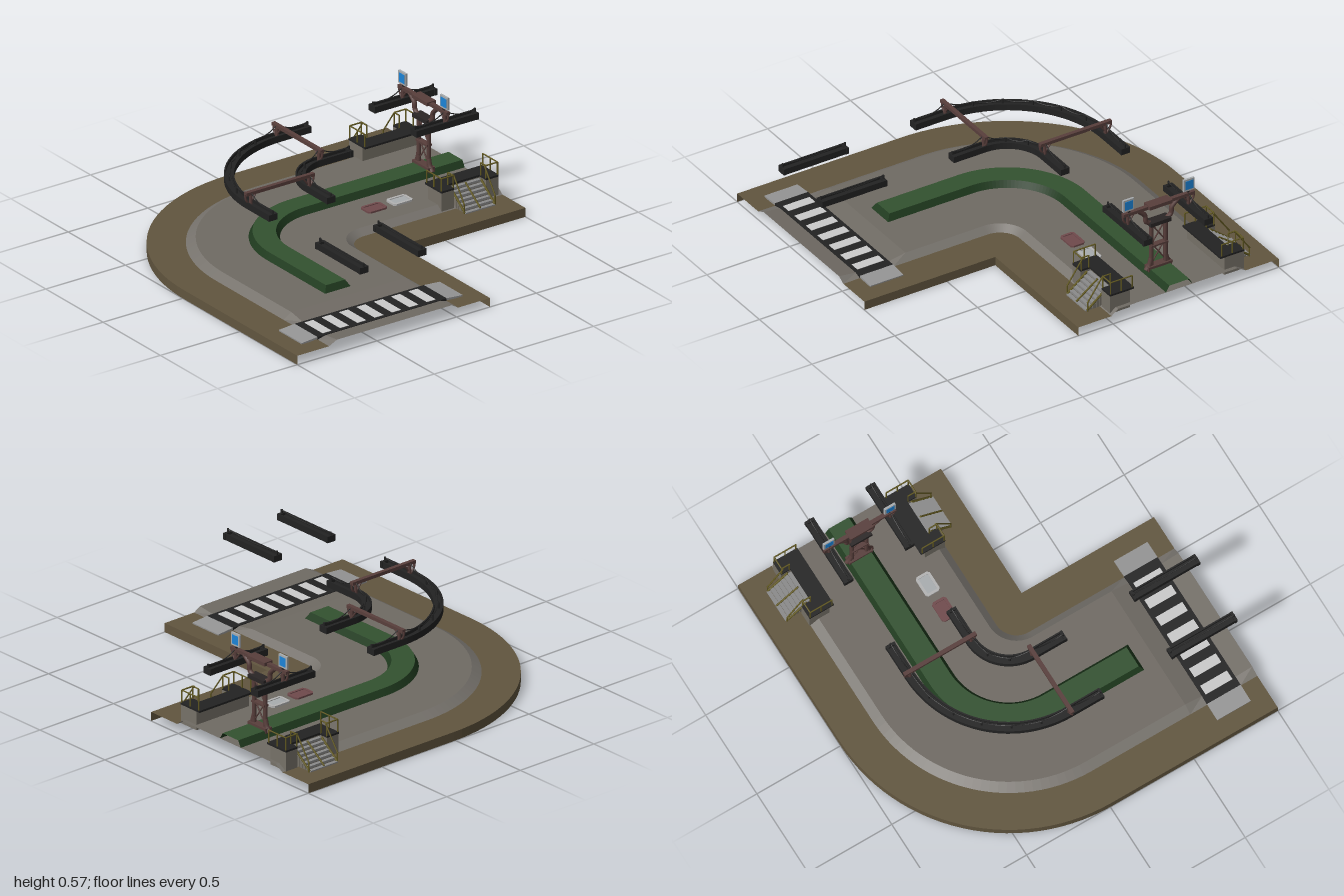
import * as THREE from 'three';

const mat = (color, extra = {}) => new THREE.MeshStandardMaterial({ color, ...extra });
const open = { side: THREE.DoubleSide, flatShading: true };
const M = {
  pavement: mat(0x62563f, open), road: mat(0x706b64, open), kerb: mat(0x77736d, open),
  grass: mat(0x335230, open), grassEdge: mat(0x1f3a1e, open), black: mat(0x232323, open),
  white: mat(0xc4c4c0), ramp: mat(0x969696), concrete: mat(0x777268), step: mat(0x8b8b8b),
  rail: mat(0x635a22), iron: mat(0x593f3c), dark: mat(0x2a2626), frame: mat(0xa9adb0),
  blue: mat(0x1c84d8), hatch: mat(0x704a4c), pale: mat(0xb4b4b4),
};
const V = (x, y, z) => new THREE.Vector3(x, y, z);

function add(parent, name, geo, material) {
  const mesh = new THREE.Mesh(geo, material);
  mesh.name = name;
  parent.add(mesh);
  return mesh;
}
// box given by its limits on each axis
function box(parent, name, material, [x0, x1], [y0, y1], [z0, z1]) {
  const m = add(parent, name, new THREE.BoxGeometry(x1 - x0, y1 - y0, z1 - z0), material);
  m.position.set((x0 + x1) / 2, (y0 + y1) / 2, (z0 + z1) / 2);
  return m;
}
// straight bar between two points
function rod(parent, name, material, a, b, r = 0.004, sides = 6) {
  const m = add(parent, name, new THREE.CylinderGeometry(r, r, a.distanceTo(b), sides), material);
  m.position.copy(a).add(b).multiplyScalar(0.5);
  m.quaternion.setFromUnitVectors(V(0, 1, 0), b.clone().sub(a).normalize());
  return m;
}
function tube(parent, name, material, pts, r, sides = 6) {
  const path = new THREE.CatmullRomCurve3(pts, false, 'catmullrom', 0.5);
  return add(parent, name, new THREE.TubeGeometry(path, pts.length * 4, r, sides), material);
}
// line that follows the bend: straight along z, quarter turn of radius r about (c, c), straight along x
function bend(r, c, y, zs = [1, 0.9, 0.7, 0.6], xs = [1], n = 28) {
  const h = typeof y === 'function' ? y : () => y;
  const pts = zs.map(z => V(c - r, h(z), z));
  for (let i = 0; i <= n; i++) {
    const a = i / n * Math.PI / 2;
    pts.push(V(c - r * Math.cos(a), h(0), c - r * Math.sin(a)));
  }
  xs.forEach(x => pts.push(V(x, h(0), c - r)));
  return pts;
}
// surface through a list of lines with equal point counts
function loft(lines) {
  const n = lines[0].length, index = [];
  for (let j = 0; j < lines.length - 1; j++) {
    for (let i = 0; i < n - 1; i++) {
      const a = j * n + i, b = a + n;
      index.push(a, a + 1, b, b, a + 1, b + 1);
    }
  }
  const g = new THREE.BufferGeometry().setFromPoints(lines.flat());
  g.setIndex(index);
  const flat = g.toNonIndexed();
  flat.computeVertexNormals();
  return flat;
}

const C = 0.01; // centre of the bend

function ground(g) {
  // carriageway dips at the crossing
  const roadY = z => z > 0.95 ? 0.074 : z > 0.65 ? 0.062 : 0.08;
  const outer = bend(0.76, C, roadY), inner = bend(0.16, 0.13, roadY);
  const outerFoot = bend(0.81, C, 0.05), innerFoot = bend(0.12, 0.13, 0.05);
  add(g, 'road', loft([outer, inner]), M.road);
  add(g, 'outerKerb', loft([outerFoot, outer]), M.kerb);
  add(g, 'innerKerb', loft([inner, innerFoot]), M.kerb);
  add(g, 'outerPavement', loft([bend(1.01, C, 0), bend(1.01, C, 0.05), outerFoot]), M.pavement);
  add(g, 'innerPavement', loft([innerFoot, bend(0, 0.21, 0.05), bend(0, 0.21, 0)]), M.pavement);

  // planted median
  const a = bend(0.49, C, 0.08, [0.52]), b = bend(0.47, C, 0.115, [0.5]);
  const c = bend(0.35, C, 0.115, [0.5]), d = bend(0.33, C, 0.08, [0.52]);
  add(g, 'medianTop', loft([b, c]), M.grass);
  add(g, 'medianOuterSide', loft([a, b]), M.grassEdge);
  add(g, 'medianInnerSide', loft([c, d]), M.grassEdge);
  add(g, 'medianEnd', loft([[a[0], d[0]], [b[0], c[0]]]), M.grassEdge);

  // crossing with its pavement ramps
  box(g, 'crossing', M.black, [-0.8, 0.01], [0.05, 0.065], [0.7, 0.9]);
  for (let i = 0; i < 7; i++) {
    const x = -0.754 + i * 0.109;
    box(g, 'crossingStripe', M.white, [x, x + 0.055], [0.06, 0.067], [0.72, 0.88]);
  }
  for (const [x, s] of [[-0.85, 1], [0.06, -1]]) {
    box(g, 'crossingRamp', M.ramp, [x - 0.05, x + 0.05], [0.05, 0.061], [0.7, 0.9]).rotation.z = s * 0.08;
  }

  // hatches set in the road
  for (const [x, rim, lid] of [[0.33, M.hatch, M.hatch], [0.49, M.pale, M.frame]]) {
    const s = new THREE.Shape(), w = 0.06, h = 0.042, k = 0.012;
    s.moveTo(-w + k, -h).lineTo(w - k, -h).lineTo(w, -h + k).lineTo(w, h - k);
    s.lineTo(w - k, h).lineTo(-w + k, h).lineTo(-w, h - k).lineTo(-w, -h + k);
    const hole = new THREE.Path();
    hole.moveTo(-w + 0.014, -h + 0.014).lineTo(-w + 0.014, h - 0.014);
    hole.lineTo(w - 0.014, h - 0.014).lineTo(w - 0.014, -h + 0.014);
    s.holes.push(hole);
    const geo = new THREE.ExtrudeGeometry(s, { depth: 0.012, bevelEnabled: false }).rotateX(-Math.PI / 2);
    add(g, 'hatchRim', geo, rim).position.set(x, 0.078, -0.18);
    box(g, 'hatchLid', lid, [x - 0.047, x + 0.047], [0.078, 0.086], [-0.21, -0.15]);
  }
}

// hanging cable between two points
function cable(g, a, b, sag) {
  const pts = [0, 0.25, 0.5, 0.75, 1].map(t => {
    const p = a.clone().lerp(b, t);
    p.y -= sag * 4 * t * (1 - t);
    return p;
  });
  tube(g, 'cable', M.black, pts, 0.003, 5);
}
function endPost(g, x, z, alongX) {
  const u = alongX ? 0.008 : 0.027, w = alongX ? 0.027 : 0.008;
  box(g, 'beamEnd', M.black, [x - u, x + u], [0.4, 0.435], [z - w, z + w]);
  rod(g, 'endPost', M.black, V(x, 0.42, z), V(x, 0.455, z), 0.006);
}
// straight beam along x, centred on its group, with or without a central mast
function straightBeam(g, mast) {
  box(g, 'beamFloor', M.black, [-0.195, 0.195], [0.4, 0.422], [-0.025, 0.025]);
  for (const s of [-1, 1]) {
    box(g, 'beamLip', M.black, [-0.195, 0.195], [0.42, 0.436], [s * 0.022 - 0.004, s * 0.022 + 0.004]);
    endPost(g, s * 0.188, 0, true);
    if (mast) cable(g, V(0, 0.487, 0), V(s * 0.188, 0.452, 0), 0.022);
  }
  if (mast) rod(g, 'beamMast', M.iron, V(0, 0.41, 0), V(0, 0.492, 0), 0.01);
  else cable(g, V(-0.188, 0.452, 0), V(0.188, 0.452, 0), 0.012);
}

function overhead(g) {
  // curved beams, masts and scalloped cables
  for (const [r, spans] of [[0.59, 6], [0.225, 3]]) {
    const line = (dr, y) => bend(r + dr, C, y, [0.205], [0.205]);
    add(g, 'curvedBeam', loft([line(-0.026, 0.4), line(-0.026, 0.436), line(-0.018, 0.436), line(-0.018, 0.42),
      line(0.018, 0.42), line(0.018, 0.436), line(0.026, 0.436), line(0.026, 0.4), line(-0.026, 0.4)]), M.black);
    endPost(g, C - r, 0.198, false);
    endPost(g, 0.198, C - r, true);
    const at = (i, y) => {
      const a = i / spans * Math.PI / 2;
      return V(C - r * Math.cos(a), y, C - r * Math.sin(a));
    };
    const top = i => at(i, i % spans ? 0.452 : 0.487);
    for (let i = 0; i <= spans; i++) {
      rod(g, i % spans ? 'cablePost' : 'beamMast', i % spans ? M.black : M.iron, at(i, 0.41), top(i), i % spans ? 0.006 : 0.01);
      if (i < spans) cable(g, top(i), top(i + 1), 0.014);
    }
    cable(g, top(0), V(C - r, 0.452, 0.198), 0.022);
    cable(g, top(spans), V(0.198, 0.452, C - r), 0.022);
  }
  // straight beams over the crossing and beside the tower
  for (const p of [-0.58, -0.215]) {
    const a = new THREE.Group(), b = new THREE.Group();
    a.name = 'crossingBeam'; b.name = 'towerBeam';
    straightBeam(a, false);
    straightBeam(b, true);
    a.position.set(p, 0, 0.805); a.rotation.y = Math.PI / 2;
    b.position.set(0.8, 0, p);
    g.add(a, b);
  }
  // girders that tie each pair of masts together
  for (const turn of [0, 1]) {
    const d = new THREE.Group();
    d.name = 'girder';
    girder(d);
    d.position.set(turn ? C : -0.4, 0, turn ? -0.4 : C);
    d.rotation.y = turn * Math.PI / 2;
    g.add(d);
  }
}
function girder(g) {
  box(g, 'girderBar', M.iron, [-0.215, 0.215], [0.474, 0.492], [-0.011, 0.011]);
  for (const s of [-1, 1]) {
    tube(g, 'girderBracket', M.iron, [V(s * 0.215, 0.482, 0), V(s * 0.21, 0.45, 0), V(s * 0.188, 0.42, 0)], 0.006);
    rod(g, 'girderBrace', M.iron, V(s * 0.178, 0.435, 0), V(s * 0.145, 0.478, 0), 0.005);
  }
}

// one half of the tower, on the +z side of its centre
function towerHalf(g) {
  rod(g, 'leg', M.iron, V(0, 0.1, 0.043), V(0, 0.385, 0.043), 0.012, 8);
  tube(g, 'foot', M.iron, [V(0, 0.17, 0.043), V(0, 0.13, 0.055), V(0, 0.105, 0.075)], 0.013, 8);
  for (const y of [0.14, 0.255]) rod(g, 'crossBrace', M.iron, V(0, y, -0.04), V(0, y + 0.115, 0.04), 0.004);
  tube(g, 'arm', M.iron, [V(0, 0.375, 0.035), V(0, 0.4, 0.075), V(0, 0.44, 0.082), V(0, 0.478, 0.12)], 0.013, 8);
  // sign on the arm end, lit on both faces
  box(g, 'signPost', M.dark, [-0.005, 0.005], [0.49, 0.51], [0.172, 0.184]);
  box(g, 'signFrame', M.frame, [-0.006, 0.006], [0.502, 0.572], [0.15, 0.215]);
  box(g, 'signPanel', M.blue, [-0.008, 0.008], [0.512, 0.562], [0.159, 0.206]);
}

// one platform with stairs and railings, on the +z side
function platform(g) {
  box(g, 'platformBody', M.concrete, [-0.178, 0.178], [0.05, 0.155], [0.285, 0.35]);
  box(g, 'deck', M.black, [-0.18, 0.18], [0.155, 0.166], [0.26, 0.35]);
  for (const s of [-1, 1]) {
    const side = (a, b) => s > 0 ? [a, b] : [-b, -a];
    box(g, 'platformSide', M.concrete, side(0.1, 0.178), [0.05, 0.155], [0.35, 0.405]);
    box(g, 'deckSide', M.black, side(0.1, 0.18), [0.155, 0.166], [0.35, 0.405]);
    const p = (x, y, z) => V(s * x, y, z);
    for (const [x, z] of [[0.103, 0.4], [0.176, 0.4], [0.176, 0.335], [0.176, 0.27], [0.103, 0.355]]) {
      rod(g, 'railPost', M.rail, p(x, 0.16, z), p(x, 0.235, z));
    }
    rod(g, 'frontRail', M.rail, p(0.103, 0.235, 0.4), p(0.176, 0.235, 0.4));
    rod(g, 'sideRail', M.rail, p(0.176, 0.235, 0.4), p(0.176, 0.235, 0.27));
    rod(g, 'innerRail', M.rail, p(0.103, 0.235, 0.355), p(0.103, 0.235, 0.4));
    rod(g, 'stairRail', M.rail, p(0.097, 0.235, 0.395), p(0.097, 0.1, 0.49));
    rod(g, 'stairRailPost', M.rail, p(0.097, 0.05, 0.488), p(0.097, 0.102, 0.488));
    rod(g, 'stringer', M.rail, p(0.094, 0.15, 0.37), p(0.094, 0.055, 0.49), 0.006);
  }
  for (let i = 0; i < 7; i++) {
    const z = 0.35 + i * 0.021, y = 0.15 - i * 0.0155;
    box(g, 'stairTread', M.step, [-0.092, 0.092], [y - 0.012, y], [z, z + 0.021]);
    box(g, 'stairRiser', M.concrete, [-0.09, 0.09], [0.045, y - 0.006], [z, z + 0.017]);
  }
  rod(g, 'middleStringer', M.rail, V(0, 0.155, 0.365), V(0, 0.06, 0.495), 0.005);
}

export function createModel() {
  const root = new THREE.Group();
  root.name = 'streetCorner';
  ground(root);
  overhead(root);
  const station = new THREE.Group();
  station.name = 'station';
  station.position.set(0.8, 0, -0.4);
  for (const turn of [0, Math.PI]) {
    const half = new THREE.Group();
    half.name = 'stationHalf';
    half.rotation.y = turn;
    towerHalf(half);
    platform(half);
    station.add(half);
  }
  // shared tower parts
  box(station, 'towerBase', M.iron, [-0.022, 0.022], [0.1, 0.128], [-0.07, 0.07]);
  box(station, 'towerCollar', M.iron, [-0.016, 0.016], [0.24, 0.25], [-0.05, 0.05]);
  box(station, 'towerHead', M.dark, [-0.028, 0.028], [0.372, 0.394], [-0.062, 0.062]);
  box(station, 'towerPlate', M.iron, [-0.028, 0.028], [0.478, 0.498], [-0.068, 0.068]);
  const arm = new THREE.Group();
  arm.name = 'towerCrossArm';
  girder(arm);
  arm.rotation.y = Math.PI / 2;
  station.add(arm);
  root.add(station);
  return root;
}
